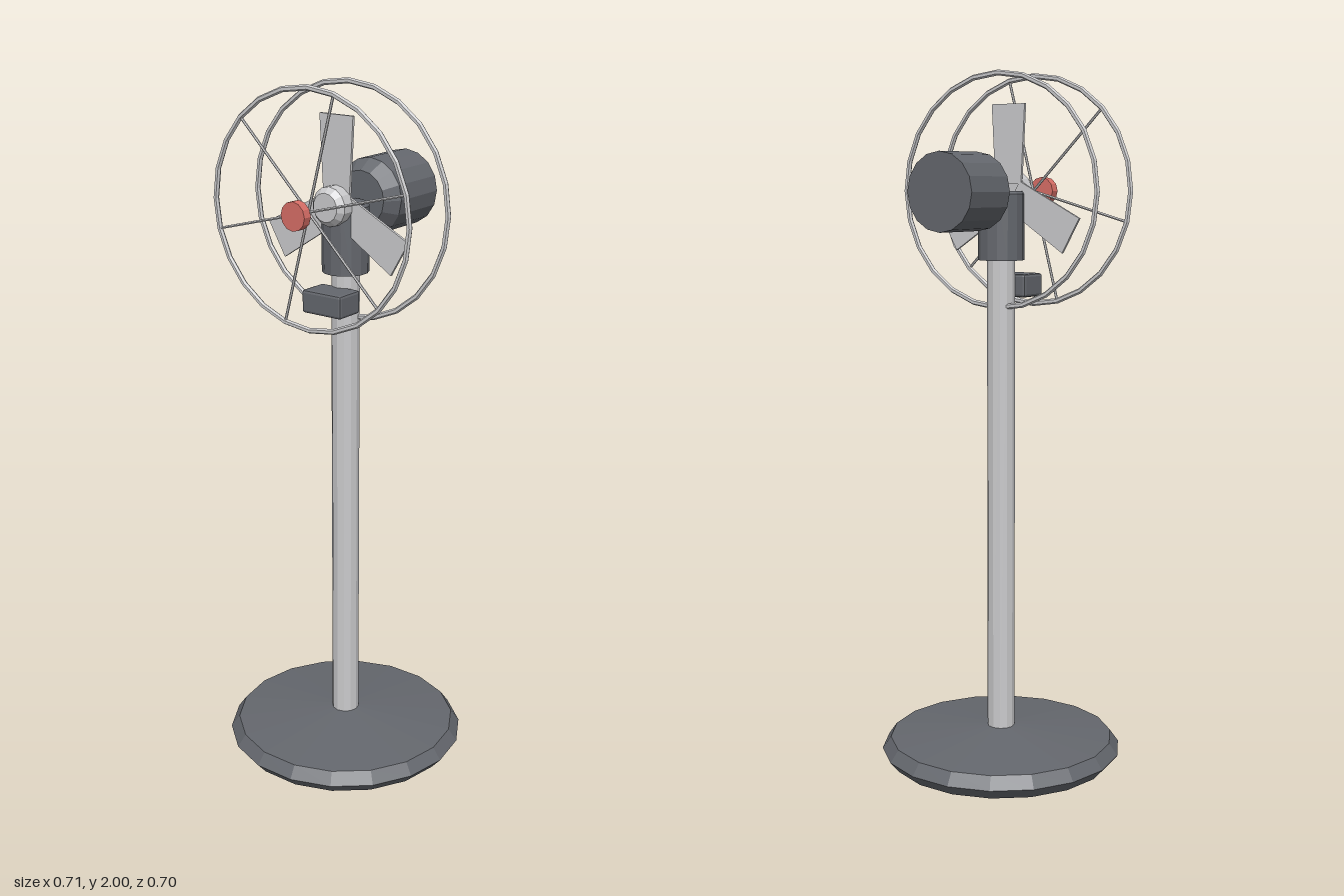
import * as THREE from 'three';
import { RoundedBoxGeometry } from 'three/addons/geometries/RoundedBoxGeometry.js';

const HUB_Y = 1.667;

function material(name, color) {
  const m = new THREE.MeshStandardMaterial({ color, flatShading: true });
  m.name = name;
  return m;
}

export function createModel() {
  const dark = material('charcoal', 0x64676d);
  const metal = material('light metal', 0xcacacc);
  const red = material('red', 0xd76e66);

  const model = new THREE.Group();
  model.name = 'pedestalFan';

  function add(name, geometry, mat, parent = model) {
    const mesh = new THREE.Mesh(geometry, mat);
    mesh.name = name;
    parent.add(mesh);
    return mesh;
  }
  // Closed turned shape from [radius, height] pairs, bottom to top
  const turned = (profile, sides) =>
    new THREE.LatheGeometry(profile.map(([r, h]) => new THREE.Vector2(r, h)), sides);

  // Weighted foot and stand
  add('base', turned([[0, 0], [0.325, 0], [0.353, 0.033], [0.328, 0.068], [0.04, 0.097], [0, 0.097]], 18)
    .rotateY(Math.PI / 18), dark);
  add('pole', new THREE.CylinderGeometry(0.04, 0.04, 1.41, 12).translate(0, 0.785, 0), metal);
  add('neck', turned([[0, 1.475], [0.066, 1.475], [0.066, 1.66], [0.06, 1.668], [0, 1.668]], 14), dark);
  add('controlBox', new RoundedBoxGeometry(0.134, 0.066, 0.092, 1, 0.008).translate(0, 1.402, 0.067), dark);

  // Fan head: turned parts have their axis along z
  const head = new THREE.Group();
  head.name = 'head';
  head.position.y = HUB_Y;
  model.add(head);

  add('motor', turned([[0, -0.287], [0.108, -0.287], [0.108, -0.112], [0.078, -0.07], [0, -0.07]], 16)
    .rotateX(Math.PI / 2), dark, head);
  add('hub', turned([[0, 0.04], [0.055, 0.04], [0.055, 0.075], [0.04, 0.092], [0, 0.092]], 14)
    .rotateX(Math.PI / 2), metal, head);
  add('frontCap', new THREE.CylinderGeometry(0.04, 0.04, 0.027, 12)
    .rotateX(Math.PI / 2).translate(0, 0, 0.217), red, head);

  // Three flat blades that widen slightly outward
  const outline = new THREE.Shape([[-0.044, 0.02], [0.044, 0.02], [0.056, 0.243], [-0.056, 0.243]]
    .map(([x, y]) => new THREE.Vector2(x, y)));
  const bladeGeometry = new THREE.ExtrudeGeometry(outline, { depth: 0.008, bevelEnabled: false })
    .translate(0, 0, 0.034);
  for (let i = 0; i < 3; i++) {
    add('blade' + (i + 1), bladeGeometry, metal, head).rotation.z = i * Math.PI * 2 / 3;
  }

  // Guard rings, with spokes on the front one
  const ring = new THREE.TorusGeometry(0.326, 0.008, 6, 24);
  add('rearGuardRing', ring, metal, head).position.z = -0.015;
  add('frontGuardRing', ring, metal, head).position.z = 0.163;
  const spoke = new THREE.CylinderGeometry(0.004, 0.004, 0.326, 6).translate(0, 0.163, 0);
  for (let i = 0; i < 6; i++) {
    const s = add('guardSpoke' + (i + 1), spoke, metal, head);
    s.position.z = 0.163;
    s.rotation.z = -Math.PI / 12 + i * Math.PI / 3;
  }
  return model;
}
